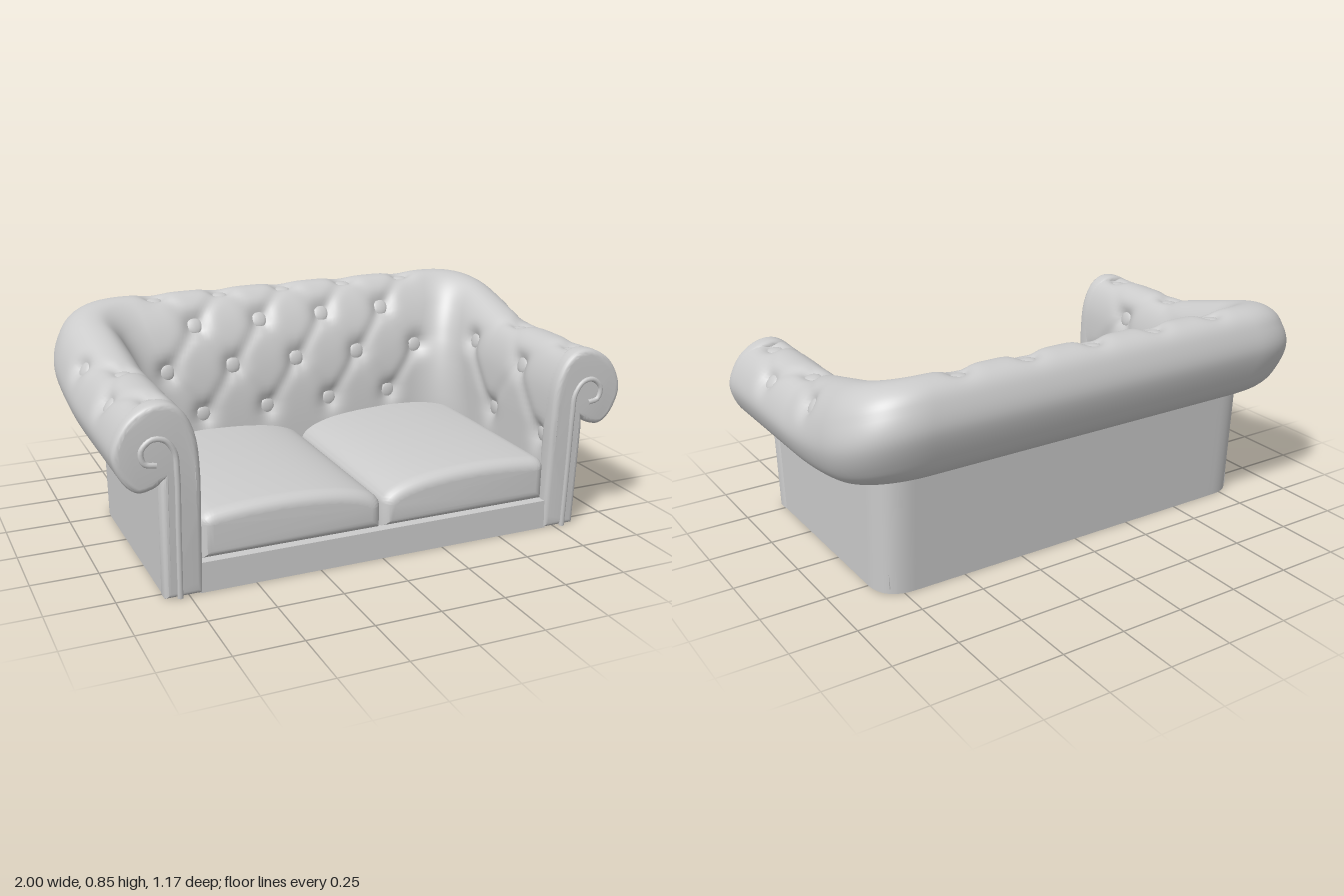
import * as THREE from 'three';
import { toCreasedNormals } from 'three/addons/utils/BufferGeometryUtils.js';

const V2 = (p) => new THREE.Vector2(p[0], p[1]);
const clamp = THREE.MathUtils.clamp, lerp = THREE.MathUtils.lerp;

// Matching profiles, from the inner foot over the roll to the outer wall: arm (x, y), back (z, y)
const ARM = [[.70, 0], [.70, .30], [.70, .45], [.71, .58], [.745, .67], [.80, .715], [.87, .715], [.94, .675],
  [.985, .61], [1, .54], [.97, .46], [.92, .415], [.86, .425], [.83, .45]].map(V2);
const BACK = [[-.25, 0], [-.25, .30], [-.262, .47], [-.285, .60], [-.335, .73], [-.40, .82], [-.455, .845], [-.52, .83],
  [-.56, .78], [-.58, .69], [-.55, .58], [-.51, .515], [-.45, .475], [-.395, .46]].map(V2);
const CORNER = [.2, .2, .17, .13, .12, .15, .2, .25, .28, .28, .27, .24, .18, .14];
const N = ARM.length - 1, FRONT = .53;
const armCurve = new THREE.SplineCurve(ARM), backCurve = new THREE.SplineCurve(BACK);

function profile(t) {
  t = clamp(t, 0, N);
  const i = Math.min(Math.floor(t), N - 1);
  return { t, a: armCurve.getPoint(t / N), b: backCurve.getPoint(t / N), r: lerp(CORNER[i], CORNER[i + 1], t - i) };
}

// Plan path: arm for s 0-1, rounded corner 1-2, half of the back 2-3, then mirrored to 6
function plan(a, b, r, s) {
  if (s > 3) { const [x, z] = plan(a, b, r, 6 - s); return [-x, z]; }
  if (s < 1) return [a, lerp(FRONT, b + r, s)];
  if (s > 2) return [(a - r) * (3 - s), b];
  const k = s - 1;
  return [a - r * k * k, b + r * (1 - k) * (1 - k)];
}

function surface(s, t) {
  const { a, b, r, t: tt } = profile(t);
  const [x, z] = plan(a.x, b.x, r, s);
  const rise = clamp((.05 - z) / (.05 - b.x), 0, 1);
  const y = lerp(a.y, b.y, Math.pow(rise, 1 + THREE.MathUtils.smoothstep(tt, 6, 10)));
  return new THREE.Vector3(x, y, z);
}

function surfaceNormal(s, t) {
  const e = .01;
  const ds = surface(s + e, t).sub(surface(s - e, t));
  const dt = surface(s, t + e).sub(surface(s, t - e));
  return dt.cross(ds).normalize();
}

// Button grid: staggered rows on both arms and on the back
function makeButtons() {
  const groups = [[], [], []];
  const add = (g, row, u, s, t) => groups[g].push({ row, u, p: surface(s, t), n: surfaceNormal(s, t) });
  [1.35, 3.2, 5.6, 7.3].forEach((t, row) => {
    const { b, r } = profile(t);
    for (const z of row % 2 ? [.28, -.09] : [.47, .11]) {
      const s = (FRONT - z) / (FRONT - b.x - r);
      add(0, row, z, s, t);
      add(1, row, z, 6 - s, t);
    }
  });
  [1.35, 2.7, 4.05, 6].forEach((t, row) => {
    const { a, r } = profile(t);
    for (const x of row % 2 ? [-.56, -.28, 0, .28, .56] : [-.42, -.14, .14, .42]) {
      const s = 3 - Math.abs(x) / (a.x - r);
      add(2, row, x, x < 0 ? 6 - s : s, t);
    }
  });
  return groups;
}

// Folds join each button to its neighbours in the next row
function makeFolds(groups) {
  const folds = [];
  for (const g of groups) for (const p of g) for (const q of g)
    if (q.row === p.row + 1 && Math.abs(p.u - q.u) < .23) folds.push(new THREE.Line3(p.p, q.p));
  return folds;
}

// Grid of points f(i, j) turned into a smooth surface
function gridGeometry(nu, nv, f) {
  const pos = [], idx = [];
  for (let i = 0; i <= nu; i++) for (let j = 0; j <= nv; j++) {
    const p = f(i / nu, j / nv);
    pos.push(p.x, p.y, p.z);
    if (i < nu && j < nv) {
      const a = i * (nv + 1) + j, c = a + nv + 1;
      idx.push(a, a + 1, c, a + 1, c + 1, c);
    }
  }
  const geo = new THREE.BufferGeometry();
  geo.setAttribute('position', new THREE.Float32BufferAttribute(pos, 3));
  geo.setIndex(idx);
  geo.computeVertexNormals();
  return geo;
}

export function createModel() {
  const root = new THREE.Group();
  root.name = 'sofa';
  const mat = new THREE.MeshStandardMaterial({ color: 0xcccccc, roughness: .8 });
  const thin = new THREE.MeshStandardMaterial({ color: 0xcccccc, roughness: .8, side: THREE.DoubleSide });
  const mesh = (name, geo, m = mat, parent = root) => {
    const o = new THREE.Mesh(geo, m);
    o.name = name;
    parent.add(o);
    return o;
  };

  // Tufted arms and back in one sweep
  const groups = makeButtons(), buttons = groups.flat(), folds = makeFolds(groups);
  const near = new THREE.Vector3();
  mesh('tuftedUpholstery', gridGeometry(264, 78, (i, j) => {
    const s = i * 6, t = j * N, p = surface(s, t);
    let dip = 0, fold = 0;
    for (const b of buttons) dip = Math.max(dip, Math.exp(-b.p.distanceToSquared(p) / .0022));
    for (const l of folds) {
      l.closestPointToPoint(p, true, near);
      fold = Math.max(fold, Math.exp(-near.distanceToSquared(p) / .0007));
    }
    return p.addScaledVector(surfaceNormal(s, t), -.03 * dip - .009 * fold);
  }), thin);

  // Buttons
  const buttonGroup = new THREE.Group();
  buttonGroup.name = 'buttons';
  root.add(buttonGroup);
  const buttonGeo = new THREE.SphereGeometry(.036, 12, 8).scale(1, 1, .35);
  for (const b of buttons) {
    const o = mesh('button', buttonGeo, mat, buttonGroup);
    o.position.copy(b.p).addScaledVector(b.n, -.032);
    o.quaternion.setFromUnitVectors(new THREE.Vector3(0, 0, 1), b.n);
  }

  // Outer walls, leaning in slightly at the back
  mesh('outerWall', gridGeometry(120, 4, (i, j) => {
    const y = lerp(.47, 0, j);
    const [x, z] = plan(.835, lerp(-.40, -.375, j), .13, i * 6);
    return new THREE.Vector3(x, y, z);
  }), thin);

  // Scrolled arm fronts with a piped hook
  const outline = [...armCurve.getPoints(60), new THREE.Vector2(.838, .42), new THREE.Vector2(.838, 0)];
  const hook = new THREE.CatmullRomCurve3([[.785, 0], [.785, .25], [.785, .47], [.792, .55], [.825, .595], [.87, .60],
    [.905, .565], [.895, .52], [.855, .51]].map(([x, y]) => new THREE.Vector3(x, y, .575 - Math.max(0, .45 - y) * .05)));
  for (const side of [1, -1]) {
    const front = new THREE.Group();
    front.name = side > 0 ? 'leftArmFront' : 'rightArmFront';
    front.scale.x = side;
    root.add(front);
    let geo = new THREE.ExtrudeGeometry(new THREE.Shape(outline), {
      depth: .035, bevelThickness: .02, bevelSize: .02, bevelOffset: -.02, bevelSegments: 4 });
    geo.translate(0, 0, .522);
    const p = geo.attributes.position;
    for (let i = 0; i < p.count; i++) p.setZ(i, p.getZ(i) - Math.max(0, .45 - p.getY(i)) * .05);
    mesh('armPanel', toCreasedNormals(geo, .6), mat, front);
    mesh('armPiping', new THREE.TubeGeometry(hook, 60, .011, 8), mat, front);
  }

  // Base: front rail and recessed underside
  mesh('frontRail', new THREE.BoxGeometry(1.42, .115, .05)).position.set(0, .0575, .523);
  mesh('underside', new THREE.BoxGeometry(1.6, .06, .87)).position.set(0, .05, .085);
  mesh('seatDeck', new THREE.BoxGeometry(1.42, .05, .8)).position.set(0, .09, .13);

  // Two crowned seat cushions, softer towards the middle
  const cushion = new THREE.Shape();
  cushion.moveTo(.003, .117);
  cushion.lineTo(.70, .117);
  cushion.lineTo(.70, .25);
  cushion.quadraticCurveTo(.70, .29, .64, .297);
  cushion.bezierCurveTo(.50, .315, .30, .315, .17, .295);
  cushion.quadraticCurveTo(.01, .27, .003, .21);
  cushion.closePath();
  for (const side of [1, -1]) {
    const geo = new THREE.ExtrudeGeometry(cushion, {
      depth: .75, curveSegments: 16, bevelThickness: .05, bevelSize: .045, bevelOffset: -.045, bevelSegments: 6 });
    geo.translate(0, 0, -.25);
    mesh(side > 0 ? 'leftCushion' : 'rightCushion', toCreasedNormals(geo, .7)).scale.x = side;
  }
  return root;
}
